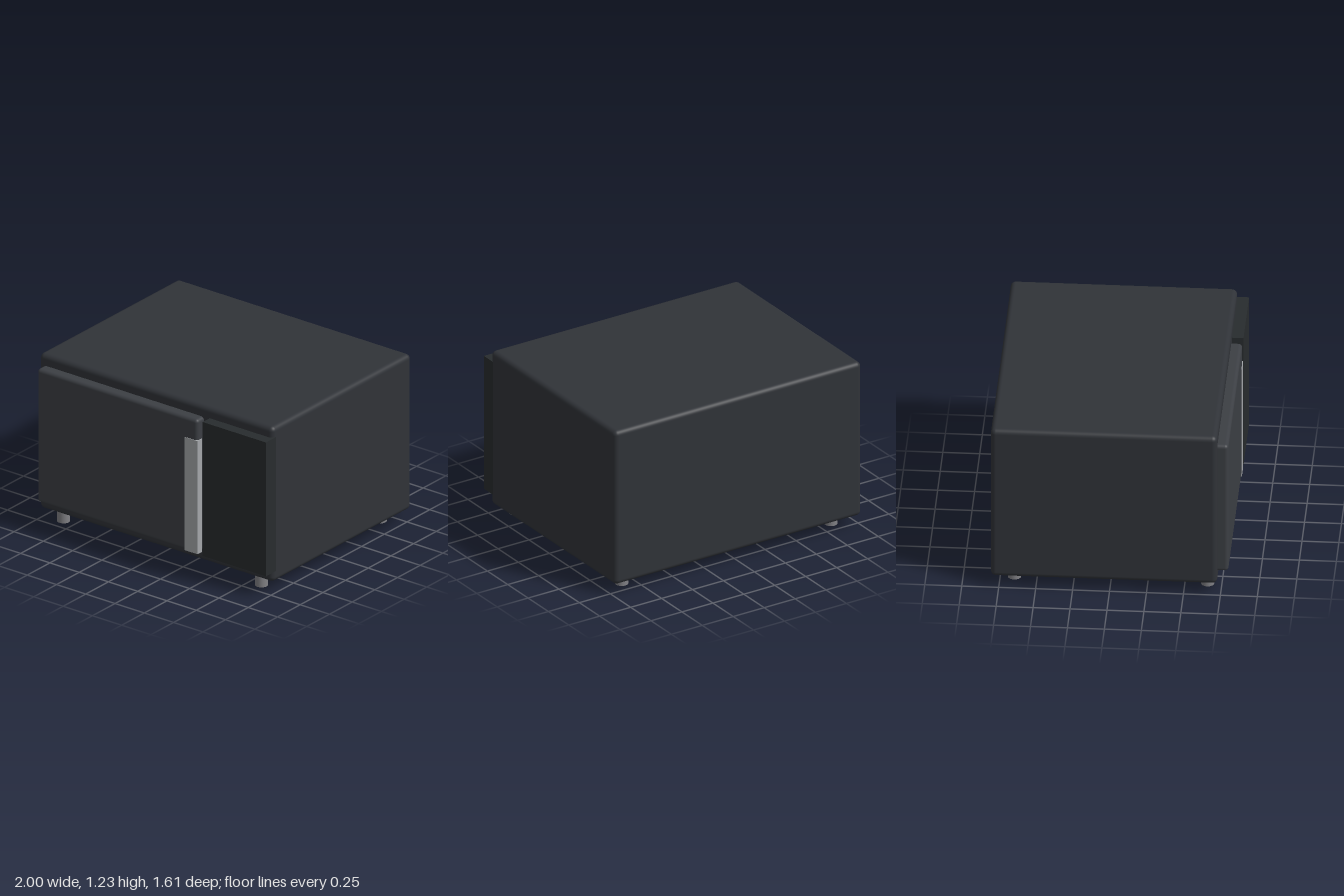
import * as THREE from 'three';
import { RoundedBoxGeometry } from 'three/addons/geometries/RoundedBoxGeometry.js';

const material = (color) => new THREE.MeshStandardMaterial({ color });

export function createModel() {
  const group = new THREE.Group();

  // Box given by its min and max corners, rounded when a radius is set
  const addBox = (name, min, max, color, radius = 0) => {
    const size = max.map((v, i) => v - min[i]);
    const geometry = radius
      ? new RoundedBoxGeometry(...size, 4, radius)
      : new THREE.BoxGeometry(...size);
    const mesh = new THREE.Mesh(geometry, material(color));
    mesh.position.set(...max.map((v, i) => (v + min[i]) / 2));
    mesh.name = name;
    group.add(mesh);
  };

  // Oven casing
  addBox('body', [-0.998, 0.08, -0.805], [0.998, 1.23, 0.727], 0x303338, 0.035);

  // Door, its handle and the control panel beside it
  addBox('door', [-0.96, 0.163, 0.695], [0.41, 1.15, 0.801], 0x3c3f44, 0.025);
  addBox('handle', [0.305, 0.16, 0.755], [0.416, 1.0, 0.805], 0xa4a7aa);
  addBox('controlPanel', [0.46, 0.16, 0.695], [1.0, 1.155, 0.805], 0x282c2e);

  // Four round feet
  const footGeometry = new THREE.CylinderGeometry(0.045, 0.045, 0.1, 24);
  const footMaterial = material(0x808084);
  for (const x of [-0.845, 0.845]) {
    for (const z of [-0.654, 0.654]) {
      const foot = new THREE.Mesh(footGeometry, footMaterial);
      foot.position.set(x, 0.05, z);
      foot.name = `${z > 0 ? 'front' : 'back'}${x > 0 ? 'Left' : 'Right'}Foot`;
      group.add(foot);
    }
  }

  return group;
}
